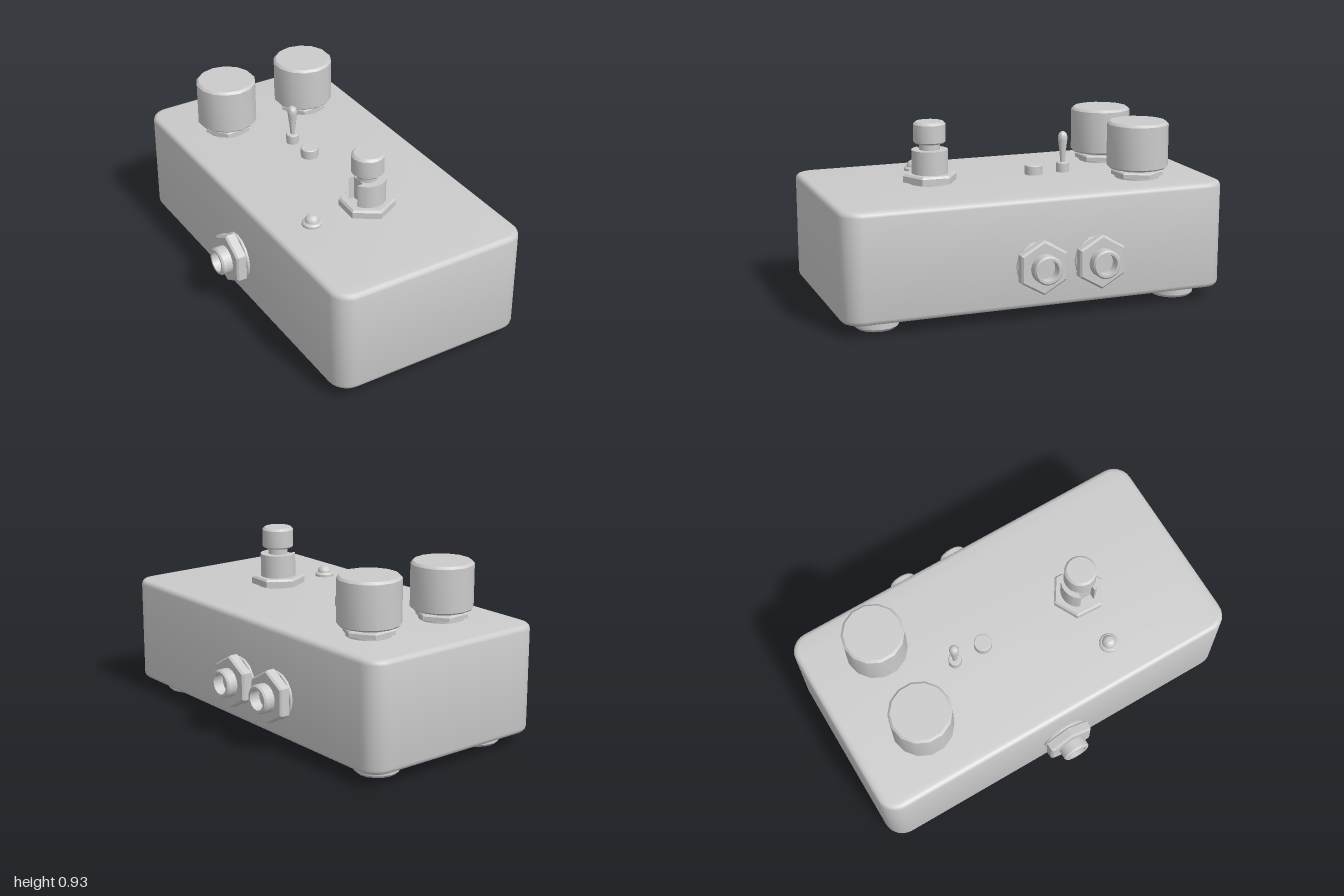
import * as THREE from 'three';
import { toCreasedNormals } from 'three/addons/utils/BufferGeometryUtils.js';

const TOP = 0.615;
const grey = new THREE.MeshStandardMaterial({ color: 0xcccccc });

function add(parent, name, geometry, x = 0, y = 0, z = 0) {
  const mesh = new THREE.Mesh(toCreasedNormals(geometry, 0.7), grey);
  mesh.name = name;
  mesh.position.set(x, y, z);
  parent.add(mesh);
  return mesh;
}

// Turned part from [radius, height] pairs, listed bottom to top
function turned(points, sides) {
  return new THREE.LatheGeometry(points.map(([r, y]) => new THREE.Vector2(r, y)), sides);
}

// Capped disc with chamfered edges; six sides make a nut
function disc(r, y0, y1, sides, top = 0.01, bottom = 0) {
  const points = [[0, y0], [r - bottom, y0]];
  if (bottom) points.push([r, y0 + bottom]);
  if (top) points.push([r, y1 - top]);
  points.push([r - top, y1], [0, y1]);
  return turned(points, sides);
}

function group(parent, name, x, y, z) {
  const g = new THREE.Group();
  g.name = name;
  g.position.set(x, y, z);
  parent.add(g);
  return g;
}

// Box with rounded corners in plan and softened top and bottom edges
function enclosure() {
  const w = 0.525, l = 1, r = 0.1, b = 0.025;
  const s = new THREE.Shape();
  s.absarc(w - r, l - r, r, 0, Math.PI / 2);
  s.absarc(-w + r, l - r, r, Math.PI / 2, Math.PI);
  s.absarc(-w + r, -l + r, r, Math.PI, Math.PI * 1.5);
  s.absarc(w - r, -l + r, r, Math.PI * 1.5, Math.PI * 2);
  const g = new THREE.ExtrudeGeometry(s, {
    depth: TOP - 0.065 - 2 * b, curveSegments: 3,
    bevelSize: b, bevelThickness: b, bevelOffset: -b, bevelSegments: 3,
  });
  return g.rotateX(-Math.PI / 2).translate(0, 0.065 + b, 0);
}

// Sleeve with a keyway on its -x side
function keyedSleeve(r, height) {
  const a = Math.asin(0.04 / r);
  const s = new THREE.Shape();
  s.absarc(0, 0, r, -Math.PI + a, Math.PI - a);
  s.lineTo(-0.052, 0.04);
  s.lineTo(-0.052, -0.04);
  const g = new THREE.ExtrudeGeometry(s, { depth: height, curveSegments: 20, bevelEnabled: false });
  return g.rotateX(-Math.PI / 2);
}

function knob(parent, name, x, z) {
  const g = group(parent, name, x, TOP, z);
  add(g, 'washer', disc(0.115, 0, 0.012, 16, 0));
  add(g, 'nut', disc(0.132, 0.01, 0.037, 6, 0.007)).rotation.y = Math.PI / 6 + 0.06;
  add(g, 'bushing', disc(0.093, 0.03, 0.065, 16, 0));
  add(g, 'cap', disc(0.157, 0.052, 0.29, 14, 0.012, 0.008));
}

function footswitch(parent, x, z) {
  const g = group(parent, 'footswitch', x, TOP, z);
  add(g, 'washer', disc(0.11, 0, 0.012, 16, 0));
  add(g, 'nut', disc(0.14, 0.008, 0.05, 6, 0.01)).rotation.y = -0.05;
  add(g, 'sleeve', keyedSleeve(0.092, 0.13), 0, 0.04, 0);
  add(g, 'plunger', disc(0.052, 0.16, 0.21, 16, 0));
  add(g, 'button', disc(0.082, 0.203, 0.312, 16, 0.012, 0.008));
}

// Hollow socket pointing outwards along the given side
function jack(parent, name, side, z) {
  const g = group(parent, name, side * 0.52, 0.283, z);
  g.rotation.z = -side * Math.PI / 2;
  add(g, 'washer', disc(0.122, 0, 0.018, 16, 0.004));
  add(g, 'nut', disc(0.137, 0.02, 0.076, 6, 0.01, 0.006)).rotation.y = Math.PI / 6;
  add(g, 'barrel', turned([
    [0.073, 0], [0.073, 0.123], [0.065, 0.132], [0.053, 0.132], [0.053, 0.03], [0, 0.03],
  ], 16));
}

export function createModel() {
  const model = new THREE.Group();
  model.name = 'effectsPedal';

  add(model, 'enclosure', enclosure());
  for (const x of [-0.327, 0.327])
    for (const z of [-0.797, 0.797])
      add(model, 'foot', disc(0.113, 0, 0.07, 16, 0, 0.014), x, 0, z);

  // Top controls
  knob(model, 'rightKnob', -0.227, -0.63);
  knob(model, 'leftKnob', 0.24, -0.63);
  footswitch(model, -0.005, 0.408);
  add(model, 'pushButton', disc(0.046, 0, 0.05, 16, 0.004), 0, TOP, -0.153);

  const toggle = group(model, 'toggleSwitch', -0.005, TOP, -0.318);
  add(toggle, 'bushing', disc(0.034, 0, 0.052, 12, 0.004));
  add(toggle, 'lever', turned([
    [0.012, 0.045], [0.014, 0.08], [0.024, 0.165], [0.025, 0.187],
    [0.019, 0.203], [0.01, 0.211], [0, 0.213],
  ], 12));

  // Indicator light: bezel ring and dome
  const lamp = group(model, 'indicatorLight', -0.315, TOP, 0.4);
  add(lamp, 'bezel', disc(0.05, 0, 0.02, 16, 0.008));
  add(lamp, 'dome', new THREE.SphereGeometry(0.037, 14, 6, 0, Math.PI * 2, 0, Math.PI / 2), 0, 0.018, 0);

  // Side sockets
  jack(model, 'frontLeftJack', 1, 0.022);
  jack(model, 'rearLeftJack', 1, -0.285);
  jack(model, 'rightJack', -1, 0.022);
  return model;
}
